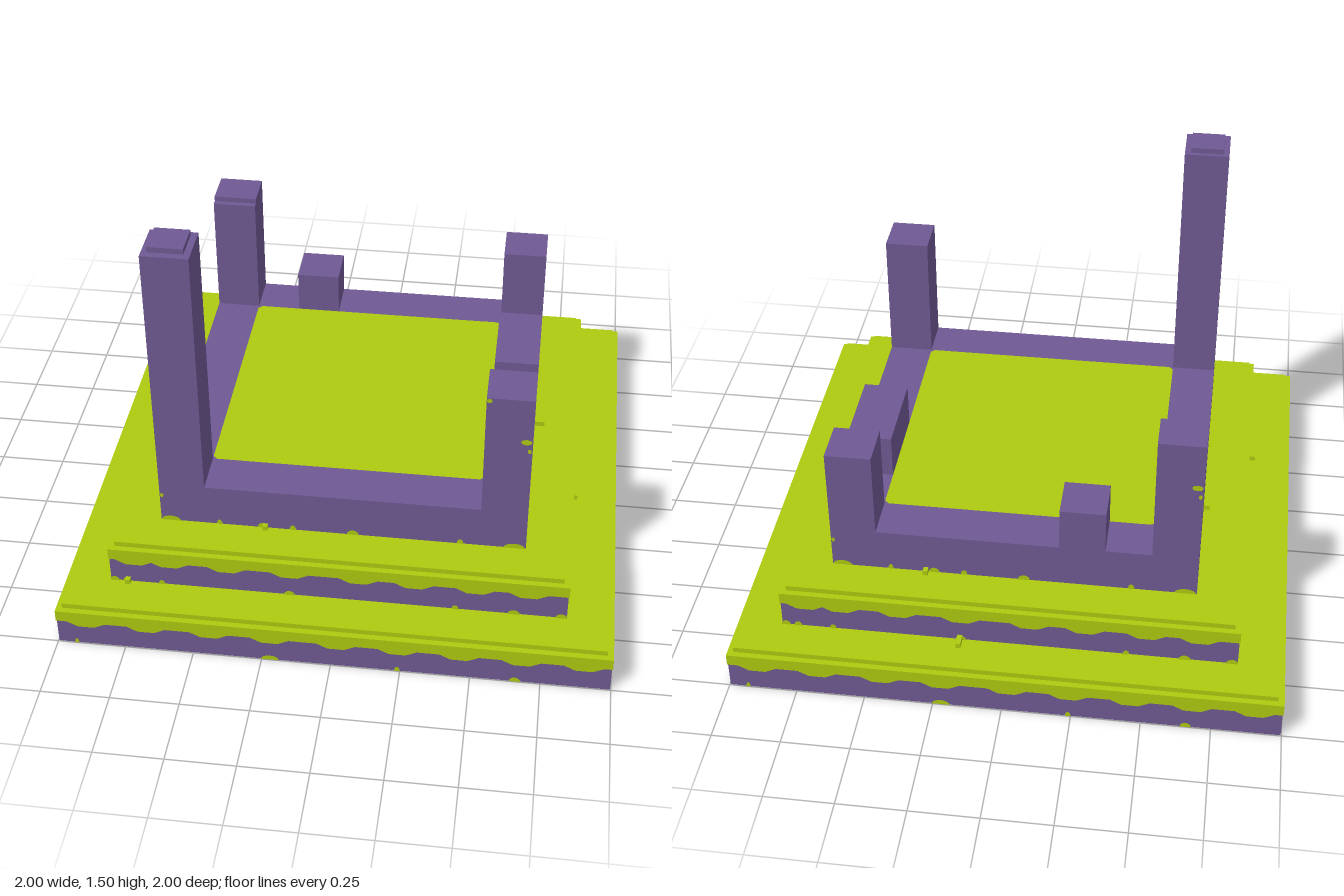
import * as THREE from 'three';

const stone = new THREE.MeshStandardMaterial({ color: 0x6f5993 });
stone.name = 'purple stone';
const moss = new THREE.MeshStandardMaterial({ color: 0xaeca0f });
moss.name = 'green moss';

// Square outline with clipped corners of size c
function square(h, c = 0, Type = THREE.Shape) {
  const p = c
    ? [[-h + c, -h], [h - c, -h], [h, -h + c], [h, h - c], [h - c, h], [-h + c, h], [-h, h - c], [-h, -h + c]]
    : [[-h, -h], [h, -h], [h, h], [-h, h]];
  return new Type(p.map(([x, y]) => new THREE.Vector2(x, y)));
}

function add(parent, name, geometry, material) {
  const mesh = new THREE.Mesh(geometry, material);
  mesh.name = name;
  parent.add(mesh);
  return mesh;
}

// Upright slab between heights y0 and y1, with an optional square hole
function slab(parent, name, half, hole, y0, y1, material, clip = 0, holeClip = 0) {
  const shape = square(half, clip);
  if (hole) shape.holes.push(square(hole, holeClip, THREE.Path));
  const g = new THREE.ExtrudeGeometry(shape, { depth: y1 - y0, bevelEnabled: false });
  g.rotateX(-Math.PI / 2).translate(0, y0, 0);
  return add(parent, name, g, material);
}

// Box given by its limits
function block(parent, name, x0, x1, y0, y1, z0, z1, material = stone) {
  const g = new THREE.BoxGeometry(x1 - x0, y1 - y0, z1 - z0);
  g.translate((x0 + x1) / 2, (y0 + y1) / 2, (z0 + z1) / 2);
  return add(parent, name, g, material);
}

// Band of moss along one side, with dips along its lower edge
function mossBand(half, y0, y1, dips) {
  const s = new THREE.Shape();
  s.moveTo(-half, y1);
  s.lineTo(-half, y0);
  for (const u of dips) {
    s.lineTo(u - 0.07, y0);
    s.lineTo(u - 0.03, y0 - 0.02);
    s.lineTo(u + 0.03, y0 - 0.02);
    s.lineTo(u + 0.07, y0);
  }
  s.lineTo(half, y0);
  s.lineTo(half, y1);
  return new THREE.ExtrudeGeometry(s, { depth: 0.003, bevelEnabled: false }).translate(0, 0, half - 0.003);
}

// Thin moss patch lying on a side plane; half patches grow from the ground
function patch(parent, u, y, w, h, z, full = false) {
  const g = new THREE.CircleGeometry(1, 8, 0, full ? Math.PI * 2 : Math.PI);
  g.scale(w / 2, h, 1).translate(u, y, z + 0.002);
  add(parent, 'mossPatch', g, moss);
}

export function createModel() {
  const model = new THREE.Group();
  model.name = 'ruin';
  const W = 0.667, I = 0.5;

  // Stepped base and the mossy lips on top of each step
  const tiers = [
    { half: 1, y: 0, dips: [-0.89, -0.67, -0.44, -0.22, 0.02, 0.24, 0.46, 0.68, 0.9] },
    { half: 0.833, y: 0.167, dips: [-0.74, -0.61, -0.4, -0.17, 0.08, 0.28, 0.5, 0.69] },
  ];
  for (const { half, y } of tiers) {
    slab(model, 'baseTier', half - 0.003, W, y, y + 0.147, [moss, stone]);
    slab(model, 'mossLip', half - 0.022, W, y + 0.147, y + 0.167, moss);
  }

  // Wall ring and the floor it encloses
  slab(model, 'wallRing', W, I, 0, 0.5, stone, 0, 0.015);
  slab(model, 'floor', I, 0, 0, 0.5, moss, 0.015);

  // Corner pillars
  block(model, 'tallPillar', -W, -I, 0.5, 1.48, I, W);
  block(model, 'tallPillarCap', -0.647, -0.523, 1.48, 1.5, 0.517, 0.64);
  block(model, 'frontPillar', I, W, 0.5, 1, I, W);
  block(model, 'shortPillar', I, W, 0.5, 0.833, -W, -I);
  block(model, 'backPillar', -W, -I, 0.5, 0.98, -W, -I);
  block(model, 'backPillarTop', -W, -I, 0.98, 1, -W, -0.522);

  // Remains of the upper wall
  block(model, 'backWallStub', -0.333, -0.167, 0.5, 0.667, -W, -I);
  block(model, 'leftWallStub', I, W, 0.5, 0.667, -0.333, 0);

  // Moss patches as [position along side, width]
  const ground = [[-0.93, 0.015], [-0.22, 0.065], [0.24, 0.02], [0.66, 0.04]];
  const lowerFoot = [[-0.815, 0.034], [-0.77, 0.03], [-0.64, 0.025], [-0.17, 0.04], [0.43, 0.025], [0.64, 0.045], [0.81, 0.044]];
  const upperFoot = [[-0.63, 0.072], [-0.45, 0.02], [-0.29, 0.04], [-0.18, 0.025], [0.04, 0.045], [0.43, 0.025], [0.625, 0.08]];
  // Loose chips per side as [position along side, inner distance, outer distance]
  const chips = [
    [[-0.28, 0.66, 0.685], [-0.765, 0.83, 0.85]],
    [[0.06, 0.66, 0.705], [-0.17, 0.83, 0.85]],
    [[-0.32, 0.66, 0.69], [-0.173, 0.83, 0.877]],
    [[-0.18, 0.66, 0.69], [0.36, 0.83, 0.86]],
  ];

  for (let k = 0; k < 4; k++) {
    const side = new THREE.Group();
    side.name = 'mossySide';
    side.rotation.y = k * Math.PI / 2;
    model.add(side);
    for (const { half, y, dips } of tiers) {
      add(side, 'mossBand', mossBand(half, y + 0.102, y + 0.147, dips), moss);
    }
    for (const [u, w] of ground) patch(side, u, 0, w, 0.02, 0.997);
    for (const [u, w] of lowerFoot) patch(side, u, 0.167, w, 0.02, 0.832);
    for (const [u, w] of upperFoot) patch(side, u, 0.333, w, 0.022, W);
    patch(side, -0.659, 0.45, 0.014, 0.01, W, true);
    patch(side, 0.645, 0.822, 0.04, 0.012, W, true);
    patch(side, 0.657, 0.783, 0.014, 0.01, W, true);
    if (k === 0) patch(side, 0.51, 0.99, 0.02, 0.009, W, true);
    chips[k].forEach(([u, z0, z1], i) => {
      const y = i ? 0.167 : 0.333;
      block(side, 'mossChip', u - 0.009, u + 0.009, y, y + 0.02, z0, z1, moss);
    });
  }
  return model;
}
